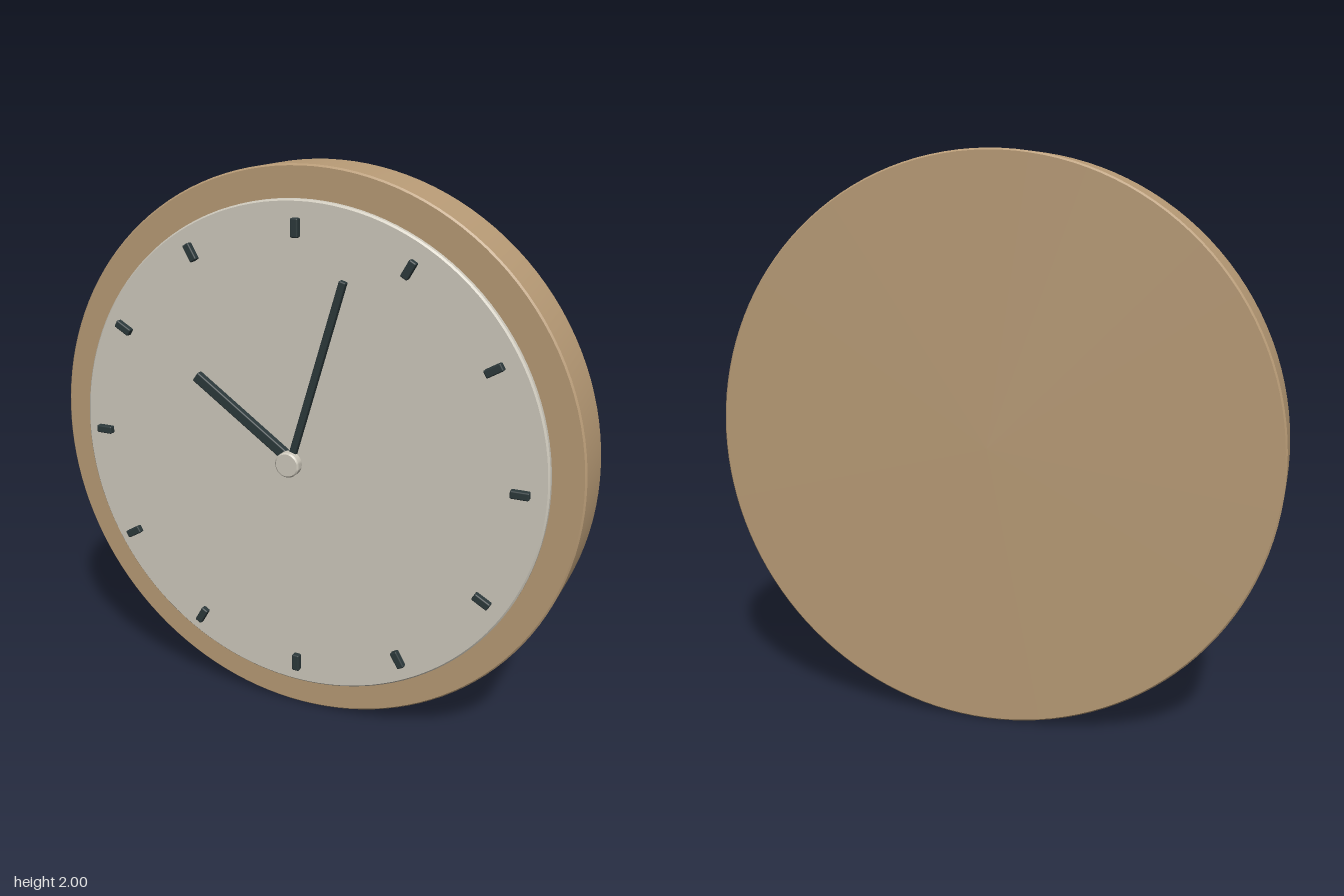
import * as THREE from 'three';
import { toCreasedNormals } from 'three/addons/utils/BufferGeometryUtils.js';
import { RoundedBoxGeometry } from 'three/addons/geometries/RoundedBoxGeometry.js';

const material = (name, color) => {
  const m = new THREE.MeshStandardMaterial({ color });
  m.name = name;
  return m;
};

export function createModel() {
  const wood = material('wood', 0xb89b76);
  const cream = material('cream', 0xcfcabd);
  const dark = material('dark slate', 0x2c393b);

  const clock = new THREE.Group();
  clock.name = 'wallClock';
  clock.position.y = 1;

  const add = (name, geometry, mat, parent = clock) => {
    const mesh = new THREE.Mesh(geometry, mat);
    mesh.name = name;
    parent.add(mesh);
    return mesh;
  };

  // Disc facing +z with a small bevel on both rims
  const disc = (radius, back, front, bevel, segments) => {
    const profile = [
      [0, back], [radius - bevel, back], [radius, back + bevel],
      [radius, front - bevel], [radius - bevel, front], [0, front],
    ].map(([r, z]) => new THREE.Vector2(r, z));
    const lathe = new THREE.LatheGeometry(profile, segments);
    lathe.rotateX(Math.PI / 2);
    return toCreasedNormals(lathe, 0.5);
  };

  // Wooden body, dial plate and centre cap
  add('body', disc(1, -0.17, 0.046, 0.006, 128), wood);
  add('dial', disc(0.89, 0.046, 0.075, 0.006, 128), cream);
  add('centreCap', disc(0.045, 0.134, 0.17, 0.005, 32), cream);

  // Bar pointing outward from the centre, at a clockwise angle from twelve
  const bar = (name, angle, start, length, width, back, front, parent) => {
    const geometry = new RoundedBoxGeometry(width, length, front - back, 2, 0.005);
    geometry.translate(0, start + length / 2, (back + front) / 2);
    add(name, geometry, dark, parent).rotation.z = -angle;
  };

  // Twelve hour marks
  const marks = new THREE.Group();
  marks.name = 'hourMarks';
  clock.add(marks);
  for (let i = 0; i < 12; i++) {
    bar(`hourMark${i + 1}`, ((i + 1) * Math.PI) / 6, 0.768, 0.064, 0.028, 0.083, 0.108, marks);
  }

  // Hands
  bar('hourHand', Math.atan2(-0.375, 0.262), 0, 0.46, 0.038, 0.105, 0.133);
  bar('minuteHand', Math.atan2(0.193, 0.645), 0, 0.675, 0.025, 0.126, 0.15);

  return clock;
}
